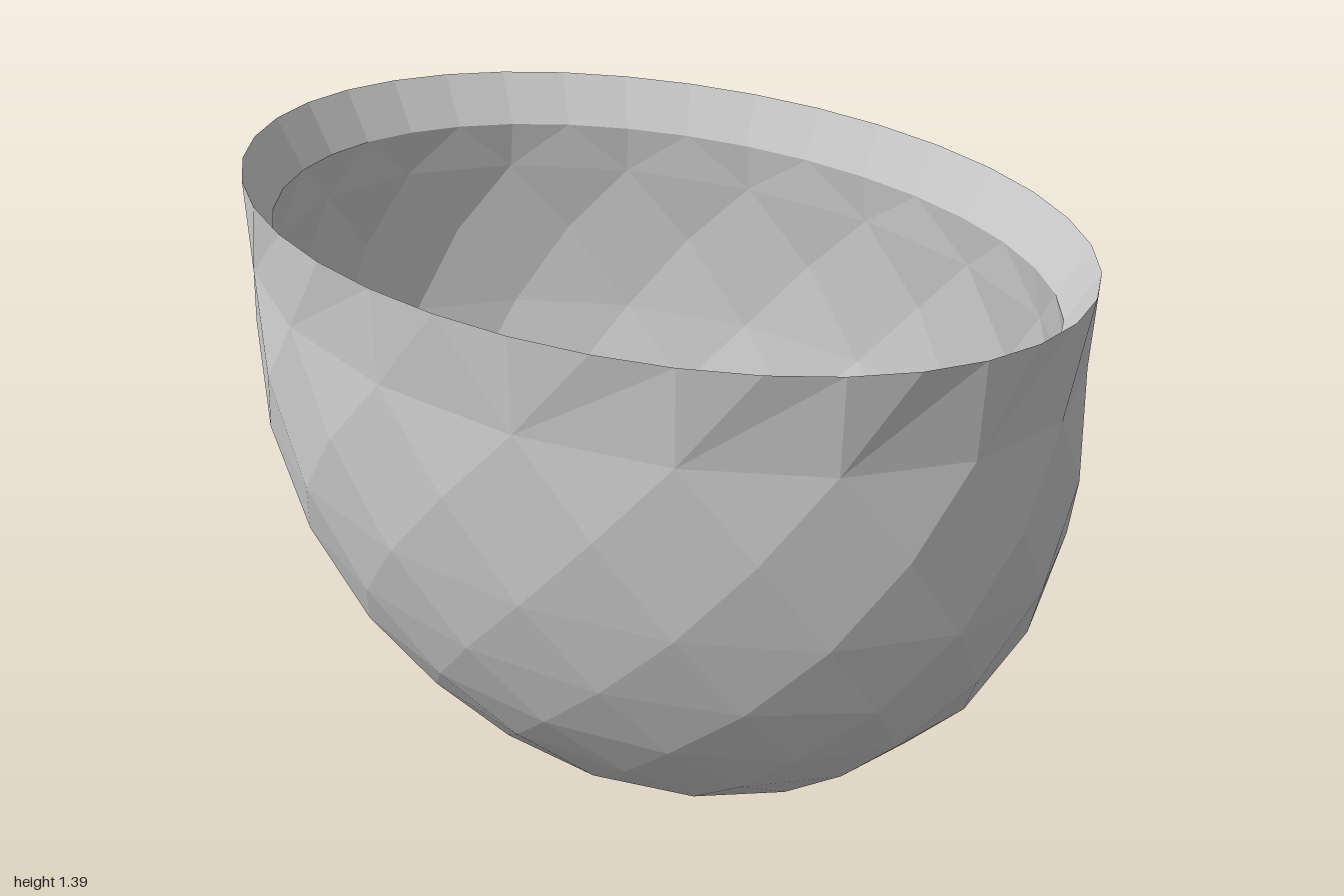
import * as THREE from 'three';

const DEPTH = 0.685; // oval: depth as a fraction of width

// Each ring: [radius, height, number of corners, stagger]
const outerRings = [
  [0.99, 1.39, 36, 0], [0.985, 1.18, 18, 0.5], [1.0, 0.99, 18, 0], [0.985, 0.79, 18, 0.5],
  [0.93, 0.6, 18, 0], [0.84, 0.43, 18, 0.5], [0.71, 0.28, 16, 0], [0.56, 0.15, 14, 0.5],
  [0.38, 0.06, 12, 0], [0.19, 0, 36, 0],
];
const innerRings = [
  [0.19, 0.03, 36, 0], [0.37, 0.09, 12, 0], [0.54, 0.18, 14, 0.5], [0.685, 0.305, 16, 0],
  [0.81, 0.45, 18, 0.5], [0.895, 0.61, 18, 0], [0.95, 0.79, 18, 0.5], [0.965, 0.99, 18, 0],
  [0.95, 1.16, 18, 0.5], [0.925, 1.275, 36, 0],
];

function ringPoint([r, y, n, stagger], i) {
  const a = ((i + stagger) / n) * Math.PI * 2;
  return [Math.sin(a) * r, y, Math.cos(a) * r * DEPTH];
}

// Joins neighbouring rings with triangles, whatever their corner counts
function facetedWall(name, rings, material) {
  const positions = [];
  for (let k = 0; k < rings.length - 1; k++) {
    const A = rings[k], B = rings[k + 1];
    let i = 0, j = 0;
    while (i < A[2] || j < B[2]) {
      const nextA = (i + 1 + A[3]) / A[2], nextB = (j + 1 + B[3]) / B[2];
      const stepA = j >= B[2] || (i < A[2] && nextA <= nextB);
      positions.push(...ringPoint(A, i), ...ringPoint(B, j));
      if (stepA) positions.push(...ringPoint(A, ++i));
      else {
        // lower edge first, then the upper corner
        positions.splice(-6, 6, ...ringPoint(B, j), ...ringPoint(B, j + 1), ...ringPoint(A, i));
        j++;
      }
    }
  }
  const geometry = new THREE.BufferGeometry();
  geometry.setAttribute('position', new THREE.Float32BufferAttribute(positions, 3));
  geometry.computeVertexNormals();
  const mesh = new THREE.Mesh(geometry, material);
  mesh.name = name;
  return mesh;
}

export function createModel() {
  const group = new THREE.Group();
  group.name = 'ovalPot';
  const material = new THREE.MeshStandardMaterial({ color: 0xcccccc, flatShading: true });

  group.add(
    facetedWall('outerWall', outerRings, material),
    facetedWall('innerWall', innerRings, material),
    // sloping lip from the inside edge up to the rim
    facetedWall('rim', [innerRings.at(-1), outerRings[0]], material),
    // short wall of the hole through the base
    facetedWall('drainHole', [outerRings.at(-1), innerRings[0]], material),
  );
  return group;
}
